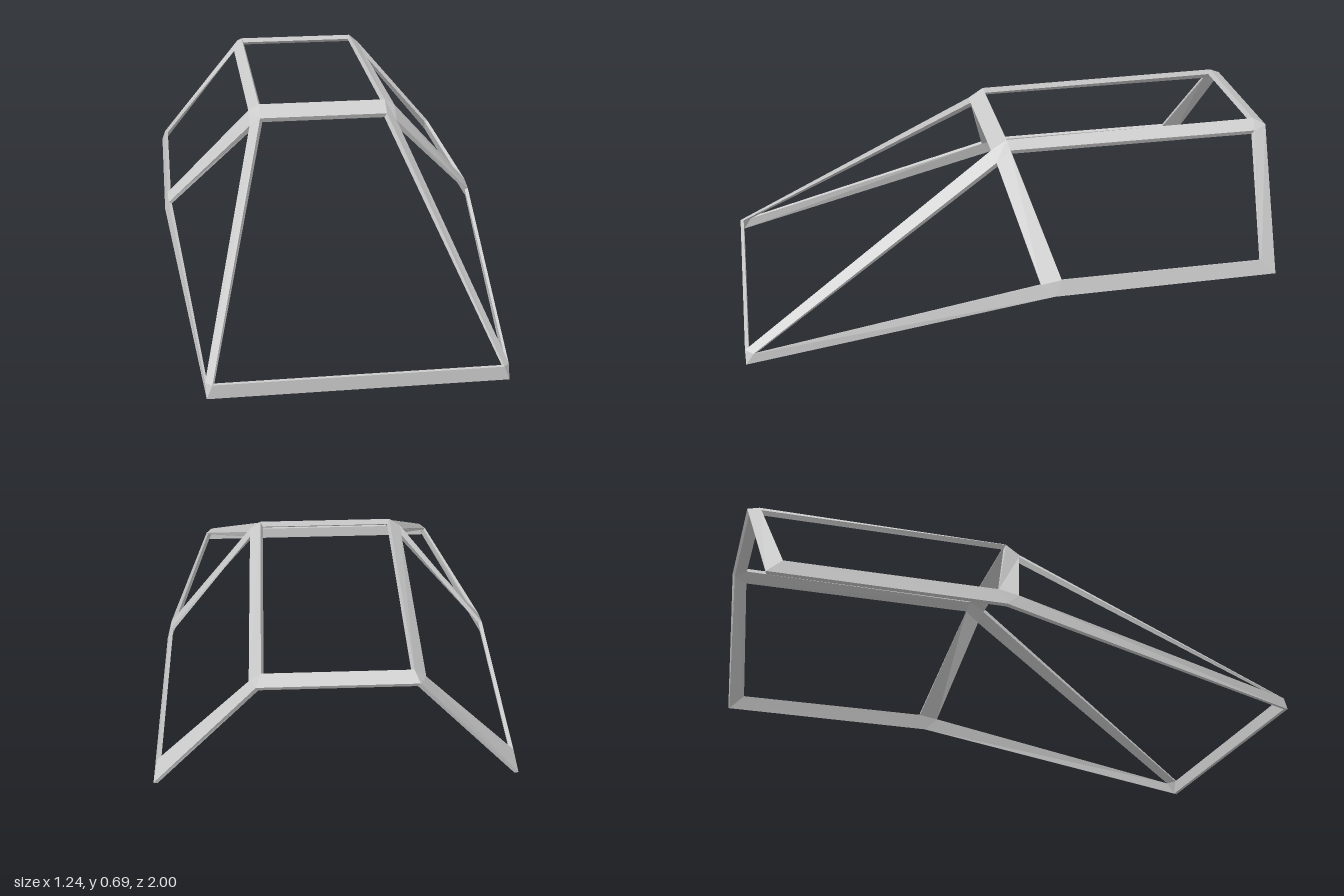
import * as THREE from 'three';

const V = (x, y, z) => new THREE.Vector3(x, y, z);

// Each joint: outer corners of the frame plus the inward thickness they share.
const joint = (inward, corners) => corners.map(c => ({ p: V(...c), inward: V(...inward) }));

const [a1, a2, a3, a4] = joint([-0.009, -0.018, -0.008],
  [[0.245, 0.683, -0.005], [0.245, 0.645, 0.053], [0.285, 0.612, 0.04], [0.285, 0.658, -0.012]]);
const [b1, b2, b3] = joint([-0.008, -0.017, 0.009],
  [[0.245, 0.69, -0.955], [0.262, 0.668, -1], [0.285, 0.657, -0.95]]);
const [c1, c2, c3] = joint([-0.013, -0.005, 0],
  [[0.605, 0.272, -0.062], [0.607, 0.285, -0.137], [0.62, 0.226, -0.11]]);
const [d1, d2] = joint([-0.013, -0.005, 0.003],
  [[0.607, 0.285, -0.89], [0.62, 0.23, -0.945]]);
const [f1, f2, f3] = joint([-0.007, 0, -0.013],
  [[0.51, 0, 1], [0.49, 0.05, 1], [0.513, 0.045, 0.97]]);

const mirror = ({ p, inward }) => ({
  p: V(-p.x, p.y, p.z), inward: V(-inward.x, inward.y, inward.z),
});

// A convex flat strip given thickness towards the inside.
function plateGeometry(corners) {
  const normal = V(0, 0, 0).crossVectors(
    corners[1].p.clone().sub(corners[0].p), corners[2].p.clone().sub(corners[0].p));
  const ring = normal.dot(corners[0].inward) > 0 ? [...corners].reverse() : corners;
  const n = ring.length;
  const outer = ring.map(c => c.p);
  const inner = ring.map(c => c.p.clone().add(c.inward));
  const pos = [];
  const tri = (...pts) => pts.forEach(q => pos.push(q.x, q.y, q.z));
  for (let i = 1; i < n - 1; i++) {
    tri(outer[0], outer[i], outer[i + 1]);
    tri(inner[0], inner[i + 1], inner[i]);
  }
  for (let i = 0; i < n; i++) {
    const j = (i + 1) % n;
    tri(outer[i], inner[i], inner[j]);
    tri(outer[i], inner[j], outer[j]);
  }
  const geo = new THREE.BufferGeometry();
  geo.setAttribute('position', new THREE.Float32BufferAttribute(pos, 3));
  geo.computeVertexNormals();
  return geo;
}

export function createModel() {
  const model = new THREE.Group();
  model.name = 'canopyFrame';
  const material = new THREE.MeshStandardMaterial({ color: 0xcccccc, flatShading: true });
  const add = (name, corners) => {
    const mesh = new THREE.Mesh(plateGeometry(corners), material);
    mesh.name = name;
    model.add(mesh);
  };

  // Cross bars running from side to side
  const crossBars = {
    frontSill: [f1, f2],
    windscreenHeader: [a1, a2],
    rearRoofBar: [b1, b2],
  };
  for (const [name, [u, v]] of Object.entries(crossBars)) {
    add(name, [u, v, mirror(v), mirror(u)]);
  }

  // Bars and corner joints found on both sides
  const sideParts = {
    WindscreenPillar: [a2, a3, f3, f2],
    MiddlePillar: [a3, a4, c2, c1],
    RoofRail: [a1, a4, b3, b1],
    RearPillar: [b3, b2, d2, d1],
    RearSideSill: [c2, c3, d2, d1],
    FrontSideSill: [f1, f3, c1, c3],
    HeaderJoint: [a1, a2, a3, a4],
    RearRoofJoint: [b1, b2, b3],
    SillJoint: [c1, c2, c3],
    FrontJoint: [f1, f2, f3],
  };
  for (const [name, corners] of Object.entries(sideParts)) {
    add('left' + name, corners);
    add('right' + name, corners.map(mirror));
  }
  return model;
}
